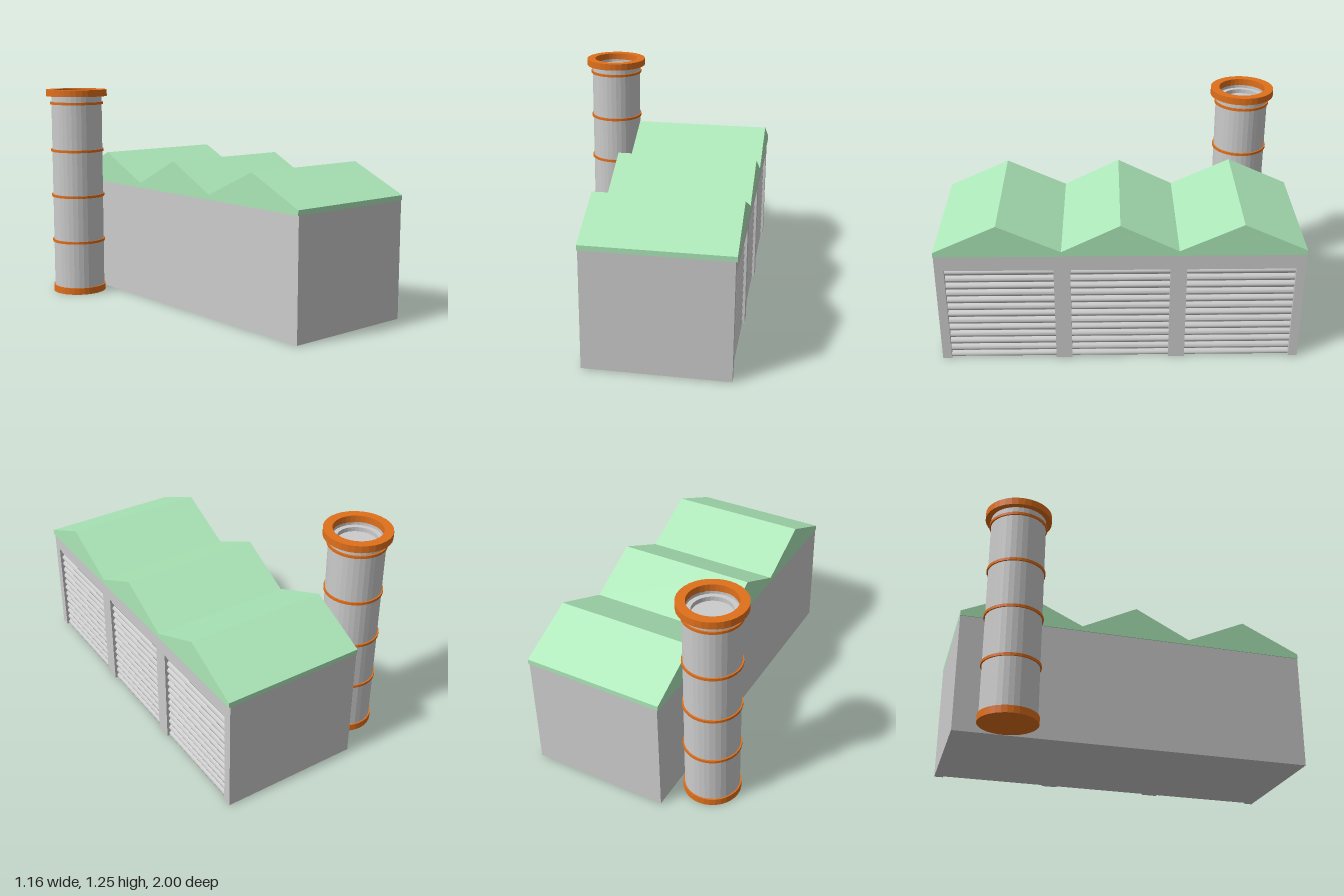
import * as THREE from 'three';
import { toCreasedNormals } from 'three/addons/utils/BufferGeometryUtils.js';

const grey = new THREE.MeshStandardMaterial({ color: 0xcccccc });
const greyFacet = new THREE.MeshStandardMaterial({ color: 0xcccccc, flatShading: true });
const green = new THREE.MeshStandardMaterial({ color: 0xace7b8 });
const orange = new THREE.MeshStandardMaterial({ color: 0xe0701c, flatShading: true });

function add(parent, name, geometry, material) {
  const mesh = new THREE.Mesh(geometry, material);
  mesh.name = name;
  parent.add(mesh);
  return mesh;
}

function extrude(points, depth) {
  const shape = new THREE.Shape(points.map(([x, y]) => new THREE.Vector2(x, y)));
  return new THREE.ExtrudeGeometry(shape, { depth, bevelEnabled: false });
}

function lathe(points, segments = 32) {
  return new THREE.LatheGeometry(points.map(([r, y]) => new THREE.Vector2(r, y)), segments);
}

// Closed ring of rectangular section
const ring = (inner, outer, y0, y1) =>
  lathe([[inner, y0], [outer, y0], [outer, y1], [inner, y1], [inner, y0]]);

const LEFT = 0.57, RIGHT = -0.22, BASE = 0.004;
const DOOR_TOP = 0.58, WALL_TOP = 0.67, RECESS = 0.54;
const doors = [[-0.95, -0.36], [-0.27, 0.27], [0.36, 0.95]];

function buildHall() {
  const hall = new THREE.Group();
  hall.name = 'hall';

  // Walls: floor plan with three door bays notched into the left side
  const plan = [[RIGHT, -1], [LEFT, -1]];
  for (const [a, b] of doors) plan.push([LEFT, a], [RECESS, a], [RECESS, b], [LEFT, b]);
  plan.push([LEFT, 1], [RIGHT, 1]);
  const walls = extrude(plan.map(([x, z]) => [x, -z]).reverse(), DOOR_TOP - BASE);
  walls.rotateX(-Math.PI / 2).translate(0, BASE, 0);
  add(hall, 'walls', walls, grey);

  // Lintel band above the doors
  const lintel = new THREE.BoxGeometry(LEFT - RIGHT, WALL_TOP - DOOR_TOP, 2);
  lintel.translate((LEFT + RIGHT) / 2, (WALL_TOP + DOOR_TOP) / 2, 0);
  add(hall, 'lintel', lintel, grey);

  // Roller doors: a column of rounded slats, the lowest one cut by the floor
  const pitch = 0.0452;
  const profile = [[RECESS - 0.005, BASE], [RECESS + 0.012, BASE]];
  for (let i = 12; i >= 0; i--) {
    for (let j = 0; j <= 6; j++) {
      const y = DOOR_TOP - i * pitch - pitch * (1 - j / 6);
      if (y > BASE + 0.002) profile.push([RECESS + 0.002 + 0.016 * Math.sin(Math.PI * j / 6), y + (j === 0 ? 0.001 : 0)]);
    }
  }
  profile.push([RECESS - 0.005, DOOR_TOP]);
  for (const [a, b] of doors) {
    const door = toCreasedNormals(extrude(profile, b - a), 0.7);
    door.translate(0, 0, a);
    add(hall, 'rollerDoor', door, grey);
  }

  // Roof: three ridges over a shallow fascia
  const roof = extrude([
    [-1, WALL_TOP], [1, WALL_TOP], [1, 0.698], [0.657, 0.855], [0.316, 0.698],
    [0, 0.855], [-0.316, 0.698], [-0.657, 0.855], [-1, 0.698],
  ], 0.803);
  roof.rotateY(Math.PI / 2).translate(-0.225, 0, 0);
  add(hall, 'roof', roof, green);
  return hall;
}

function buildChimney() {
  const chimney = new THREE.Group();
  chimney.name = 'chimney';
  chimney.position.set(-0.395, 0, -0.735);

  // Stack with a stepped, sunken mouth
  add(chimney, 'stack', lathe([
    [0.152, 0.02], [0.152, 1.207], [0.134, 1.207], [0.134, 1.19],
    [0.108, 1.19], [0.108, 1.165], [0, 1.165],
  ]), greyFacet);

  // Base collar, bands and top rim
  const base = new THREE.CylinderGeometry(0.16, 0.16, 0.04, 32);
  base.translate(0, 0.02, 0);
  add(chimney, 'baseCollar', base, orange);
  for (const y of [0.32, 0.6, 0.877, 1.163]) {
    add(chimney, 'band', ring(0.148, 0.16, y - 0.0075, y + 0.0075), orange);
  }
  add(chimney, 'topRim', ring(0.134, 0.184, 1.205, 1.245), orange);
  return chimney;
}

export function createModel() {
  const model = new THREE.Group();
  model.name = 'factory';
  model.add(buildHall(), buildChimney());
  return model;
}
